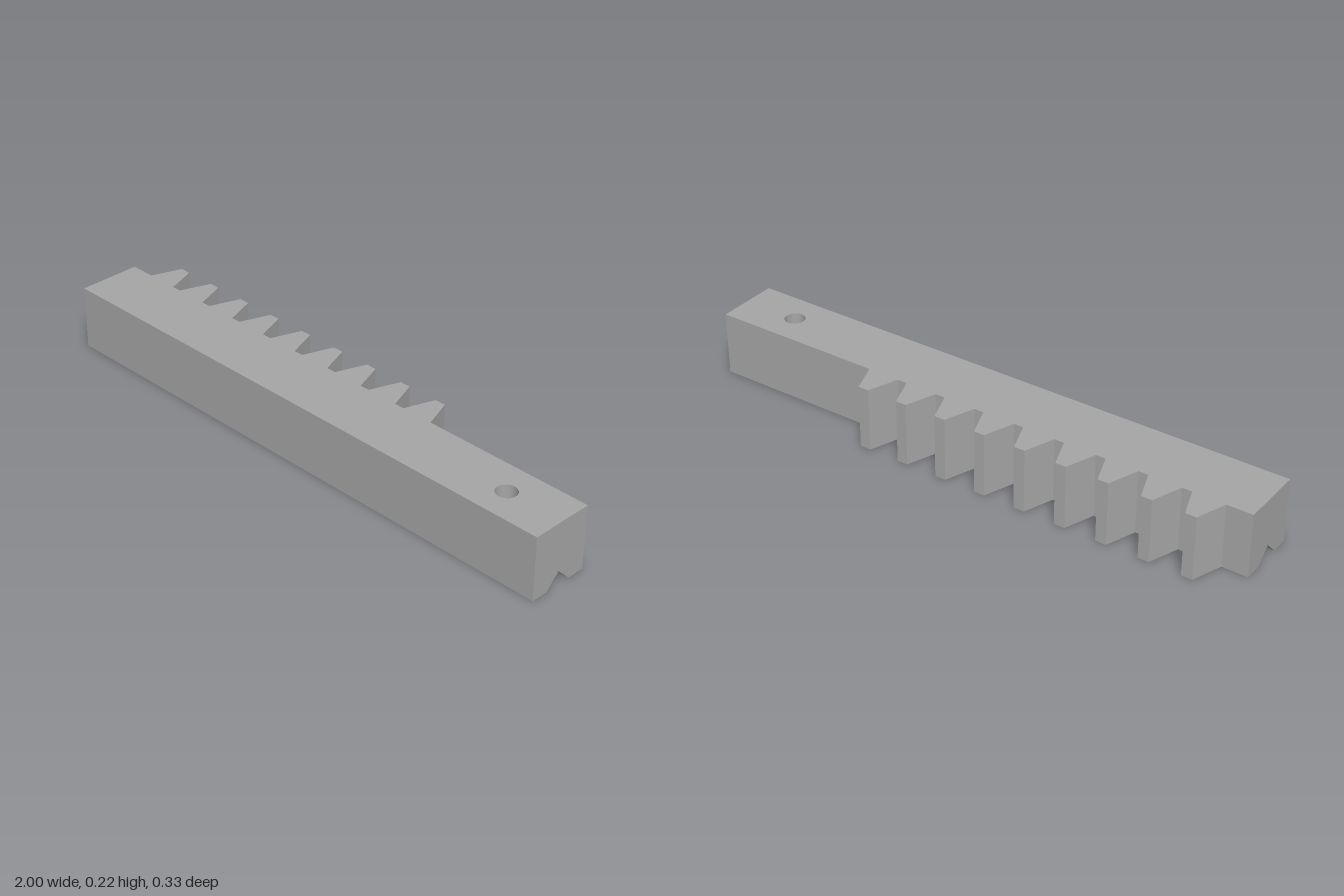
import * as THREE from 'three';
import { mergeGeometries, toCreasedNormals } from 'three/addons/utils/BufferGeometryUtils.js';

const HEIGHT = 0.223, FRONT = 0.163, ROOT = -0.058, TIP = -0.163;
const GROOVE_Z = 0.054, GROOVE = 0.049; // centre line, half width (= depth) of the V groove
const HOLE_X = 0.793, HOLE_R = 0.035;
const SEAMS = [GROOVE_Z - GROOVE, GROOVE_Z, GROOVE_Z + GROOVE];

// Extrudes a plan outline of [x, z] points upward, with its underside following the V groove
function strip(points) {
  const shape = new THREE.Shape(points.map(([x, z]) => new THREE.Vector2(x, -z)));
  const geo = new THREE.ExtrudeGeometry(shape, { depth: HEIGHT, bevelEnabled: false });
  geo.rotateX(-Math.PI / 2);
  const src = geo.toNonIndexed ? (geo.index ? geo.toNonIndexed() : geo) : geo;
  const p = src.attributes.position;
  const kept = [];
  for (let i = 0; i < p.count; i += 3) {
    const tri = [0, 1, 2].map(k => [p.getX(i + k), p.getY(i + k), p.getZ(i + k)]);
    // Leave out the inner walls where two strips meet
    if (SEAMS.some(s => tri.every(v => Math.abs(v[2] - s) < 1e-5))) continue;
    for (const [x, y, z] of tri) {
      const floor = Math.max(0, GROOVE - Math.abs(z - GROOVE_Z));
      kept.push(x, y < HEIGHT / 2 ? floor : y, z);
    }
  }
  const out = new THREE.BufferGeometry();
  out.setAttribute('position', new THREE.Float32BufferAttribute(kept, 3));
  return out;
}

// One side of the groove, with half of the round hole cut in its inner edge
function grooveStrip(side) {
  const outer = GROOVE_Z + side * GROOVE;
  const pts = [[-1, outer], [1, outer], [1, GROOVE_Z]];
  const n = 20;
  for (let i = 0; i <= n; i++) {
    const a = Math.PI * i / n;
    pts.push([HOLE_X + HOLE_R * Math.cos(a), GROOVE_Z + side * HOLE_R * Math.sin(a)]);
  }
  pts.push([-1, GROOVE_Z]);
  return strip(pts);
}

// Back strip whose rear edge carries nine trapezoid teeth
function toothedStrip() {
  const pts = [[1, SEAMS[0]], [-1, SEAMS[0]], [-1, ROOT]];
  for (let i = 0; i < 9; i++) {
    const x = -0.854 + i * 0.1485;
    pts.push([x - 0.057, ROOT], [x - 0.019, TIP], [x + 0.019, TIP], [x + 0.057, ROOT]);
  }
  pts.push([1, ROOT]);
  return strip(pts);
}

export function createModel() {
  const metal = new THREE.MeshStandardMaterial({ color: 0xa6a6a6 });
  metal.name = 'grey metal';

  const geo = mergeGeometries([
    strip([[-1, FRONT], [1, FRONT], [1, SEAMS[2]], [-1, SEAMS[2]]]),
    grooveStrip(1),
    grooveStrip(-1),
    toothedStrip(),
  ]);

  const rack = new THREE.Mesh(toCreasedNormals(geo, Math.PI / 6), metal);
  rack.name = 'toothedRack';

  const model = new THREE.Group();
  model.name = 'gearRack';
  model.add(rack);
  return model;
}
